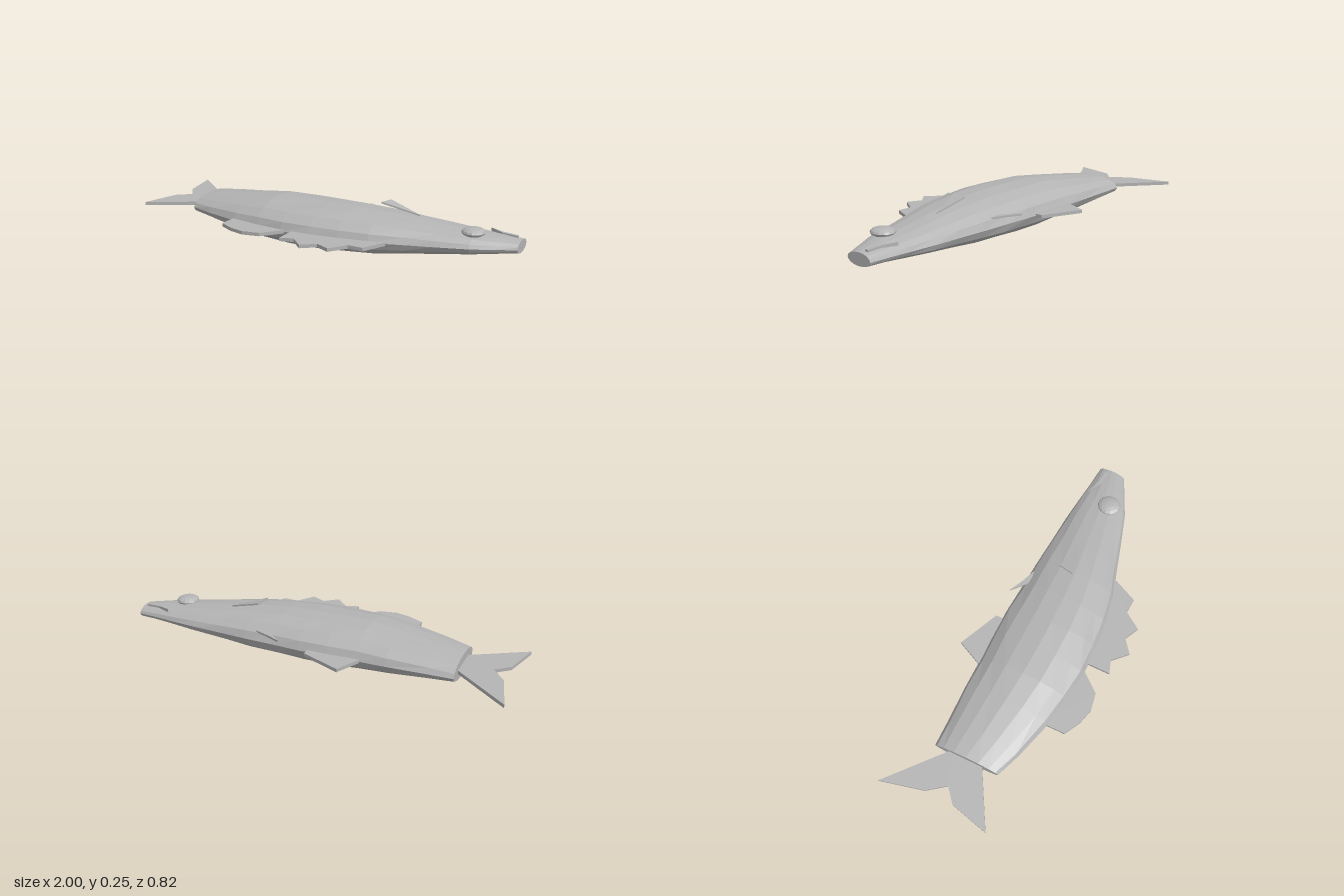
import * as THREE from 'three';

const grey = new THREE.MeshStandardMaterial({ color: 0xb4b4b4 });
grey.name = 'fish grey';

function add(group, name, geometry) {
  const mesh = new THREE.Mesh(geometry, grey);
  mesh.name = name;
  group.add(mesh);
  return mesh;
}

// Give every face its own normal for the low-poly look
function faceted(geometry) {
  const flat = geometry.index ? geometry.toNonIndexed() : geometry;
  flat.computeVertexNormals();
  return flat;
}

// Flat plate from an [x, z] outline, lying level with its underside at y
function plate(points, y, thickness) {
  const shape = new THREE.Shape(points.map(([x, z]) => new THREE.Vector2(x, -z)));
  return new THREE.ExtrudeGeometry(shape, { depth: thickness, bevelEnabled: false })
    .rotateX(-Math.PI / 2).translate(0, y, 0);
}

// Body cross-sections: x, back z, belly z, bottom y, top y
const SECTIONS = [
  [-0.73, -0.25, 0.09, 0.062, 0.165],
  [-0.60, -0.25, 0.14, 0.047, 0.183],
  [-0.40, -0.253, 0.20, 0.024, 0.207],
  [-0.25, -0.25, 0.23, 0.01, 0.224],
  [-0.10, -0.252, 0.247, 0.004, 0.225],
  [0.05, -0.248, 0.25, 0.001, 0.225],
  [0.20, -0.236, 0.237, 0.007, 0.221],
  [0.35, -0.226, 0.21, 0.016, 0.211],
  [0.50, -0.212, 0.165, 0.031, 0.197],
  [0.65, -0.2, 0.122, 0.048, 0.18],
  [0.80, -0.182, 0.076, 0.065, 0.165],
  [0.90, -0.168, 0.03, 0.075, 0.156],
  [1.00, -0.158, -0.018, 0.083, 0.145],
];

function bodyGeometry() {
  const sides = 16, midY = 0.113, pos = [], index = [];
  SECTIONS.forEach(([x, back, belly, bottom, top], i) => {
    const midZ = (back + belly) / 2, halfZ = (belly - back) / 2;
    for (let j = 0; j < sides; j++) {
      const a = (j / sides) * Math.PI * 2, c = Math.cos(a);
      // Slight unevenness along the flanks
      const wobble = j % 4 ? 1 + 0.012 * Math.sin(i * 2.3 + j * 1.7) : 1;
      pos.push(x, midY + c * wobble * (c > 0 ? top - midY : midY - bottom),
        midZ + Math.sin(a) * halfZ * wobble);
    }
  });
  const last = SECTIONS.length - 1;
  for (let i = 0; i < last; i++) {
    for (let j = 0; j < sides; j++) {
      const k = (j + 1) % sides;
      const p = i * sides + j, q = i * sides + k;
      index.push(p, q, p + sides, q, q + sides, p + sides);
    }
  }
  // Flat ends at the tail root and the snout
  for (let j = 1; j < sides - 1; j++) {
    index.push(0, j + 1, j);
    index.push(last * sides, last * sides + j, last * sides + j + 1);
  }
  const g = new THREE.BufferGeometry();
  g.setAttribute('position', new THREE.Float32BufferAttribute(pos, 3));
  g.setIndex(index);
  return faceted(g);
}

export function createModel() {
  const fish = new THREE.Group();
  fish.name = 'fish';
  add(fish, 'body', bodyGeometry());

  // Fins in the plane of the body
  const fins = {
    tailFin: [[-0.7, -0.16], [-0.73, -0.175], [-1, -0.413], [-0.947, -0.19], [-0.88, -0.1],
      [-0.95, -0.04], [-1, 0.16], [-0.73, 0.005], [-0.7, -0.01]],
    dorsalFin: [[-0.28, -0.22], [-0.27, -0.25], [-0.21, -0.378], [-0.003, -0.283], [-0.003, -0.22]],
    analFin: [[-0.41, 0.16], [-0.41, 0.29], [-0.33, 0.335], [-0.25, 0.358], [-0.16, 0.343],
      [-0.07, 0.235], [-0.07, 0.2]],
    bellyFin: [[-0.037, 0.2], [-0.037, 0.362], [0.03, 0.34], [0.1, 0.411], [0.167, 0.358],
      [0.24, 0.395], [0.3, 0.308], [0.377, 0.312], [0.435, 0.19], [0.43, 0.15]],
  };
  for (const [name, outline] of Object.entries(fins)) {
    add(fish, name, plate(outline, 0.105, 0.017));
  }

  // Small fin on the upper back
  add(fish, 'backFin', plate([[0.14, -0.275], [0.21, -0.24], [0.29, -0.208], [0.22, -0.2]], 0.15, 0.01));

  // Side fin, lifting towards its rear edge
  const side = plate([[0.32, -0.01], [0.335, -0.09], [0.5, -0.06]], 0, 0.008);
  const p = side.attributes.position;
  for (let i = 0; i < p.count; i++) {
    p.setY(i, p.getY(i) + 0.247 - (p.getX(i) - 0.32) * 0.29);
  }
  add(fish, 'sideFin', faceted(side));

  // Domed eye
  const eye = new THREE.SphereGeometry(1, 14, 8).scale(0.057, 0.022, 0.06);
  add(fish, 'eye', faceted(eye)).position.set(0.79, 0.172, -0.014);

  // Thin raised lip, sloping down to the snout
  const lip = plate([[0.83, -0.152], [0.9, -0.125], [0.975, -0.118], [0.975, -0.1], [0.9, -0.107]], 0, 0.016);
  const l = lip.attributes.position;
  for (let i = 0; i < l.count; i++) {
    l.setY(i, l.getY(i) + 0.146 - (l.getX(i) - 0.83) * 0.05);
  }
  add(fish, 'lip', faceted(lip));

  return fish;
}
